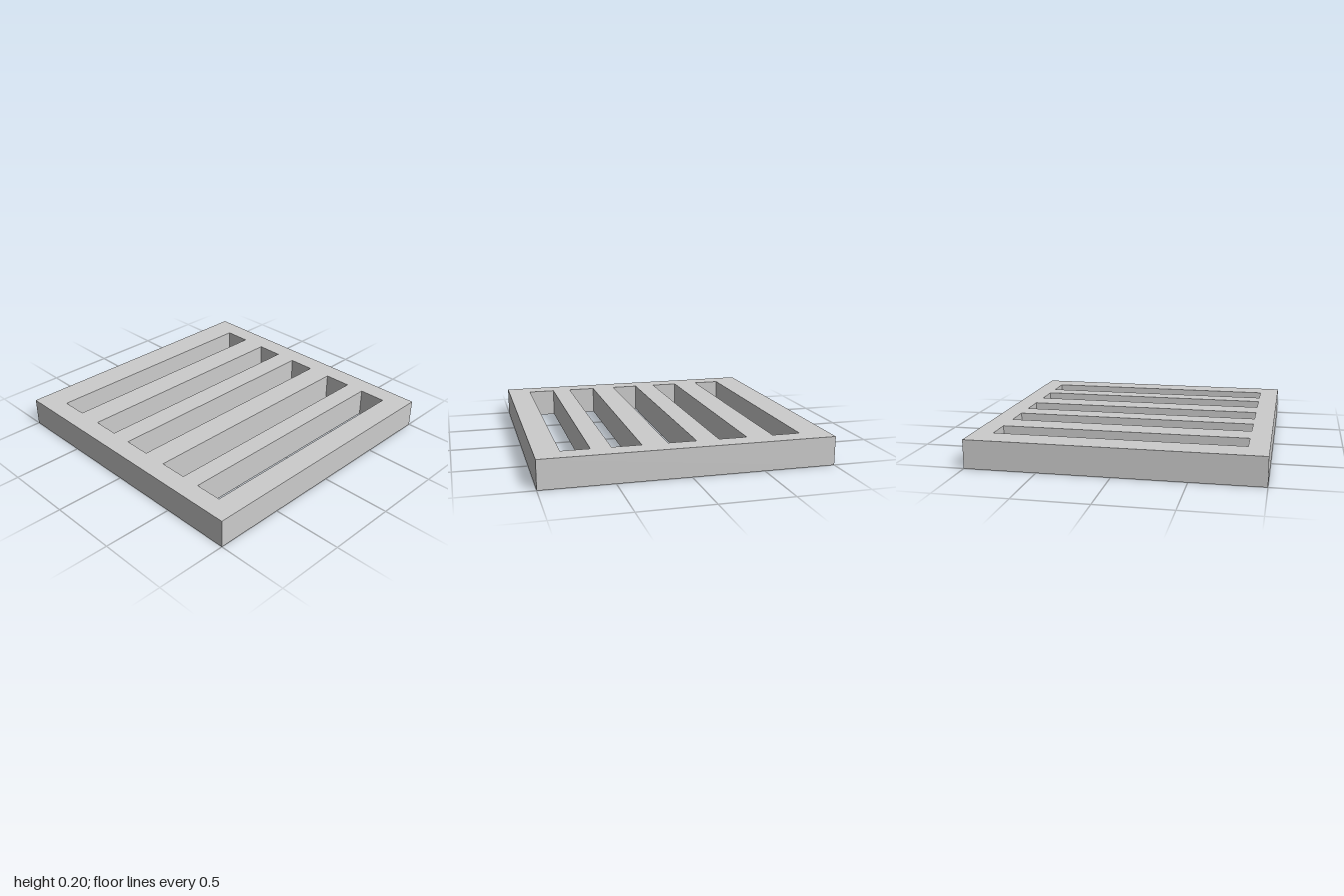
import * as THREE from 'three';

const HEIGHT = 0.2;
const SLOT_HALF_WIDTH = 0.86;
// z start and end of each slot, back to front
const SLOTS = [[-0.8, -0.605], [-0.42, -0.225], [-0.07, 0.125], [0.3, 0.5], [0.637, 0.832]];

function rectangle(PathType, x0, z0, x1, z1) {
  return new PathType([
    new THREE.Vector2(x0, z0),
    new THREE.Vector2(x1, z0),
    new THREE.Vector2(x1, z1),
    new THREE.Vector2(x0, z1),
  ]);
}

export function createModel() {
  const group = new THREE.Group();
  group.name = 'slottedGrate';

  // square plate pierced by five slots
  const outline = rectangle(THREE.Shape, -1, -1, 1, 1);
  for (const [z0, z1] of SLOTS) {
    outline.holes.push(rectangle(THREE.Path, -SLOT_HALF_WIDTH, z0, SLOT_HALF_WIDTH, z1));
  }
  const geometry = new THREE.ExtrudeGeometry(outline, { depth: HEIGHT, bevelEnabled: false });
  // lay flat: shape y becomes z, the top face at HEIGHT
  geometry.rotateX(Math.PI / 2).translate(0, HEIGHT, 0);

  const plate = new THREE.Mesh(geometry, new THREE.MeshStandardMaterial({ color: 0xcccccc }));
  plate.name = 'slottedPlate';
  group.add(plate);
  return group;
}
